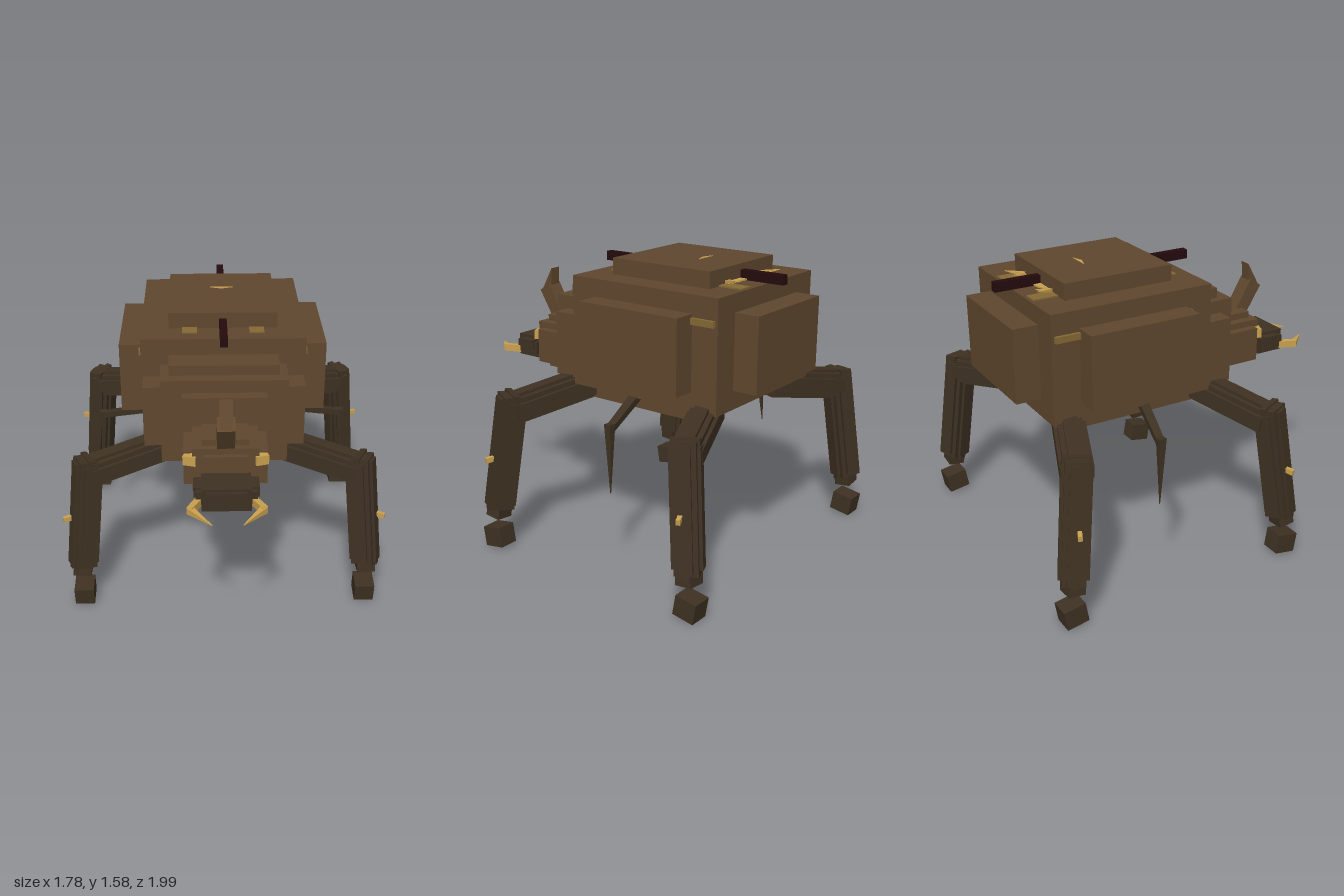
import * as THREE from 'three';

const mat = (name, color) => Object.assign(new THREE.MeshStandardMaterial({ color, flatShading: true }), { name });

export function createModel() {
  const model = new THREE.Group();
  model.name = 'armouredWalker';
  const brown = mat('shell brown', 0x5f472e);
  const dark = mat('dark limb brown', 0x3e3122);
  const gold = mat('gold', 0xc9a04f);
  const dullGold = mat('dull gold', 0x856834);
  const red = mat('dark red', 0x240b0d);

  const add = (name, geo, material, parent = model) => {
    const mesh = new THREE.Mesh(geo, material);
    mesh.name = name;
    parent.add(mesh);
    return mesh;
  };
  // Box given by its extents on each axis
  const box = (name, material, x0, x1, y0, y1, z0, z1, parent) => {
    const m = add(name, new THREE.BoxGeometry(x1 - x0, y1 - y0, z1 - z0), material, parent);
    m.position.set((x0 + x1) / 2, (y0 + y1) / 2, (z0 + z1) / 2);
    return m;
  };
  const midBox = (name, material, hx, y0, y1, z0, z1) => box(name, material, -hx, hx, y0, y1, z0, z1);
  // Tapered bar from a to b; w across, h along the up direction
  const bar = (name, material, a, b, w, h, taper = 1, up = [0, 1, 0], parent = model) => {
    const A = new THREE.Vector3(...a), B = new THREE.Vector3(...b);
    const len = A.distanceTo(B);
    const geo = new THREE.BoxGeometry(w, h, len);
    const p = geo.attributes.position;
    for (let i = 0; i < p.count; i++)
      if (p.getZ(i) > 0) p.setXY(i, p.getX(i) * taper, p.getY(i) * taper);
    geo.computeVertexNormals();
    const m = add(name, geo, material, parent);
    m.up.set(...up);
    m.position.copy(A).lerp(B, 0.5);
    m.lookAt(B);
    return m;
  };
  // Side outline of [z, y] points, extruded across x
  const sideShape = (name, material, pts, hx) => {
    const shape = new THREE.Shape(pts.map(q => new THREE.Vector2(...q)));
    const geo = new THREE.ExtrudeGeometry(shape, { depth: hx * 2, bevelEnabled: false });
    geo.translate(0, 0, -hx).rotateY(-Math.PI / 2);
    add(name, geo, material);
  };

  // Shell
  midBox('shell', brown, 0.44, 0.9, 1.49, -0.81, 0.1);
  midBox('sidePlates', brown, 0.565, 1.0, 1.395, -0.66, -0.05);
  midBox('topPlate', brown, 0.293, 1.45, 1.577, -0.66, -0.05);
  midBox('rearPlate', brown, 0.293, 1.0, 1.395, -0.945, -0.7);
  midBox('bellyPlate', brown, 0.32, 0.8, 0.92, -0.6, 0.08);
  midBox('keelPlate', brown, 0.2, 0.77, 0.85, -0.49, 0.04);

  // Stepped chest
  midBox('chestSides', brown, 0.43, 0.93, 1.275, 0.05, 0.235);
  midBox('chestRidge', brown, 0.29, 0.9, 1.4, 0.05, 0.24);
  midBox('chest', brown, 0.335, 0.87, 1.345, 0.05, 0.305);
  midBox('chestFront', brown, 0.222, 0.92, 1.275, 0.28, 0.365);

  // Head
  midBox('neck', brown, 0.13, 0.93, 1.11, 0.3, 0.45);
  midBox('head', brown, 0.17, 0.875, 1.115, 0.37, 0.61);
  midBox('headSides', brown, 0.215, 0.89, 1.08, 0.365, 0.575);
  midBox('headCrest', brown, 0.12, 0.84, 1.15, 0.41, 0.58);
  midBox('brow', brown, 0.115, 0.9, 1.08, 0.5, 0.635);
  sideShape('horn', brown, [[0.53, 1.12], [0.62, 1.12], [0.71, 1.265], [0.64, 1.31]], 0.045);
  sideShape('hornTip', brown, [[0.635, 1.3], [0.705, 1.265], [0.63, 1.4]], 0.033);

  // Jaw
  midBox('jaw', dark, 0.155, 0.905, 0.975, 0.65, 0.8);
  midBox('jawCore', dark, 0.125, 0.875, 1.0, 0.655, 0.815);
  midBox('jawFront', dark, 0.1, 0.89, 0.985, 0.6, 0.83);
  midBox('jawPad', dark, 0.165, 0.93, 0.985, 0.67, 0.77);

  // Dark red spine rod
  midBox('spineRod', red, 0.02, 1.495, 1.545, -0.91, 0.22);

  // Fan ornament on the back and small inlay on the top plate
  const fan = add('fanOrnament', new THREE.CylinderGeometry(0.11, 0.11, 0.008, 10, 1, false, Math.PI / 2, Math.PI), gold);
  fan.scale.z = 0.4;
  fan.position.set(0, 1.5, -0.657);
  const inlayShape = new THREE.Shape([[-0.065, 0.008], [0, -0.012], [0.065, 0.008]].map(q => new THREE.Vector2(...q)));
  const inlay = add('topInlay', new THREE.ExtrudeGeometry(inlayShape, { depth: 0.006, bevelEnabled: false }), gold);
  inlay.rotation.x = -Math.PI / 2;
  inlay.position.set(0, 1.575, -0.425);

  for (const s of [1, -1]) {
    const side = s > 0 ? 'left' : 'right';
    const P = (x, y, z) => [s * x, y, z];

    // Eyes and two-part pincers
    const eye = box(side + 'Eye', gold, -0.034, 0.034, -0.026, 0.026, -0.03, 0.03);
    eye.position.set(s * 0.178, 1.045, 0.585);
    eye.rotation.y = s * 0.3;
    bar(side + 'PincerBase', gold, P(0.14, 0.915, 0.79), P(0.185, 0.918, 0.88), 0.032, 0.04);
    bar(side + 'PincerTip', gold, P(0.185, 0.918, 0.865), P(0.075, 0.912, 0.998), 0.035, 0.036, 0.1);

    // Gold bands and feathers
    const [b0, b1] = s > 0 ? [0.14, 0.22] : [-0.22, -0.14];
    box(side + 'TopBand', dullGold, b0, b1, 1.48, 1.497, -0.795, 0.025);
    const [c0, c1] = s > 0 ? [0.43, 0.458] : [-0.458, -0.43];
    box(side + 'SideBand', dullGold, c0, c1, 1.345, 1.378, -0.795, -0.02);
    bar(side + 'InnerFeather', gold, P(0.15, 1.505, -0.67), P(0.2, 1.525, -0.76), 0.03, 0.02, 0.15);
    bar(side + 'OuterFeather', gold, P(0.15, 1.5, -0.67), P(0.13, 1.515, -0.74), 0.025, 0.02, 0.15);

    // Slender middle limb
    bar(side + 'MiddleArm', dark, P(0.38, 0.9, -0.28), P(0.705, 0.815, -0.36), 0.05, 0.04, 0.8);
    bar(side + 'MiddleSpike', dark, P(0.7, 0.84, -0.355), P(0.72, 0.48, -0.375), 0.04, 0.04, 0.08, [s, 0, 0]);

    // Main legs: bundles of overlapping slabs, mirrored front to rear
    for (const f of [1, -1]) {
      const leg = new THREE.Group();
      leg.name = (f > 0 ? 'front' : 'rear') + (s > 0 ? 'Left' : 'Right') + 'Leg';
      model.add(leg);
      const L = (x, y, z) => [s * x, y, -0.28 + f * (z + 0.28)];
      const mix = (a, b, t) => a.map((v, i) => v + (b[i] - v) * t);
      const bundle = (name, a, b, size, up) => {
        const slabs = [[1, 0.45, 0.04, 0.96], [0.45, 1, 0.02, 0.98], [0.78, 0.78, 0, 1],
          [0.92, 0.22, -0.02, 0.9], [0.22, 0.92, 0.05, 1.02]];
        for (const [w, h, t0, t1] of slabs)
          bar(name, dark, mix(a, b, t0), mix(a, b, t1), size * w, size * h, 1, up, leg);
      };
      const hip = L(0.29, 0.88, 0.11), knee = L(0.755, 0.795, 0.29);
      const top = L(0.735, 0.875, 0.28), ankle = L(0.792, 0.24, 0.35);
      const out = [s * 0.9, 0, f * 0.42];
      bundle('thigh', hip, knee, 0.165, [0, 1, 0]);
      bundle('shin', top, ankle, 0.155, out);
      bar('ankle', dark, L(0.785, 0.3, 0.345), L(0.797, 0.185, 0.357), 0.09, 0.1, 1, [s, 0, 0], leg);
      const spur = box('spur', gold, -0.035, 0.035, -0.014, 0.014, -0.011, 0.011, leg);
      spur.position.set(...L(0.85, 0.535, 0.335));
      spur.rotation.set(0, -s * f * 0.4, -s * 0.12);
      const foot = box('foot', dark, -0.054, 0.054, -0.054, 0.054, -0.06, 0.06, leg);
      foot.position.set(...L(0.79, 0.069, 0.362));
      foot.rotation.x = f * 0.17;
    }
  }
  return model;
}
